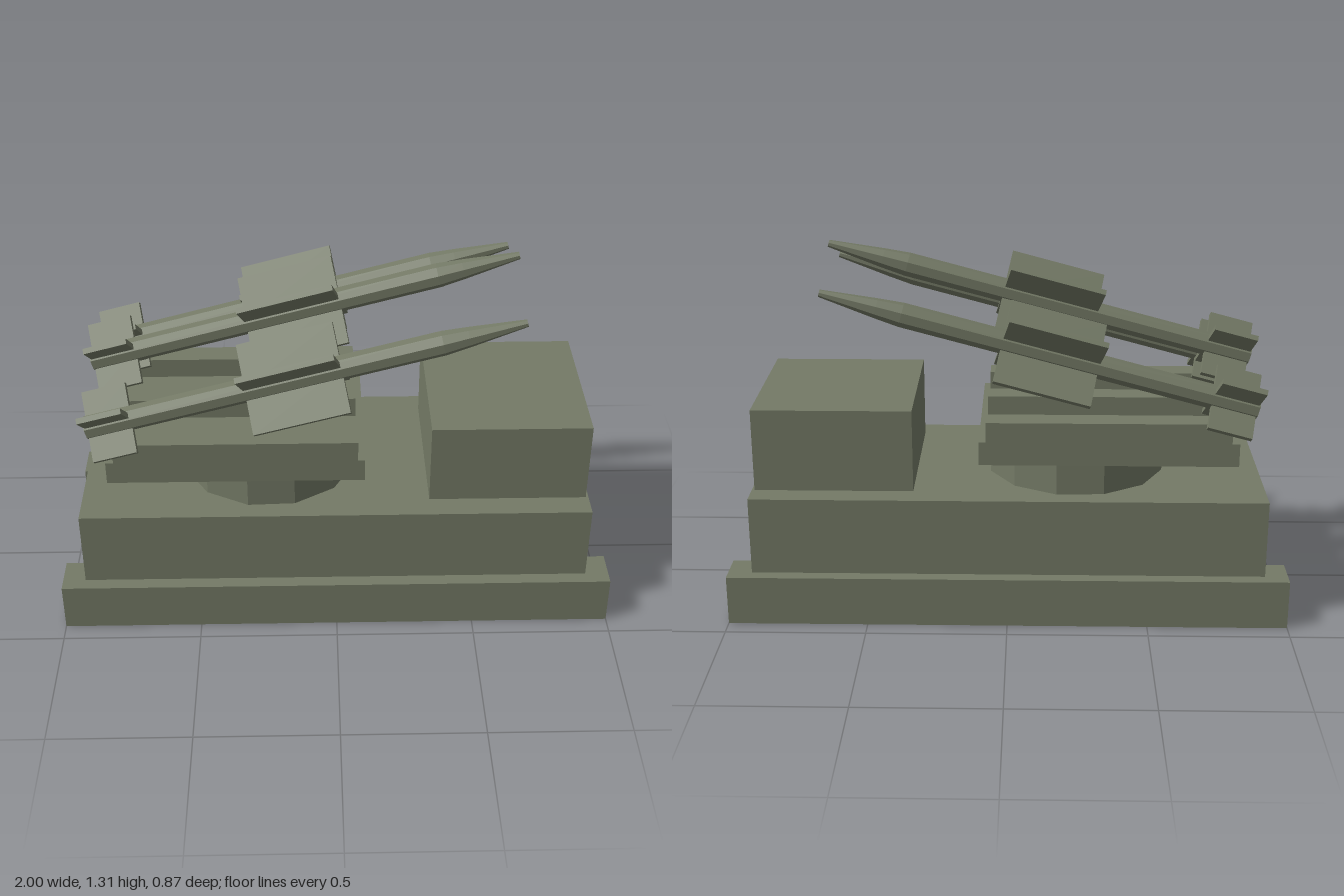
import * as THREE from 'three';

const material = new THREE.MeshStandardMaterial({ color: 0x747a66, flatShading: true });

function addMesh(parent, name, geometry, x = 0, y = 0, z = 0) {
  const mesh = new THREE.Mesh(geometry, material);
  mesh.name = name;
  mesh.position.set(x, y, z);
  parent.add(mesh);
  return mesh;
}

// Box given by its minimum and maximum on each axis
function addBox(parent, name, [x0, x1], [y0, y1], [z0, z1]) {
  return addMesh(parent, name, new THREE.BoxGeometry(x1 - x0, y1 - y0, z1 - z0),
    (x0 + x1) / 2, (y0 + y1) / 2, (z0 + z1) / 2);
}

// Four fins in an X around the missile axis (local x)
function addFins(parent, name, centre, chord, span) {
  for (let i = 0; i < 4; i++) {
    const geometry = new THREE.BoxGeometry(chord, span, 0.02);
    geometry.translate(centre, span / 2, 0);
    addMesh(parent, name, geometry).rotation.x = Math.PI / 4 + i * Math.PI / 2;
  }
}

// Missile pointing along +x, with its nose tip at the origin
function createMissile() {
  const missile = new THREE.Group();
  missile.name = 'missile';
  const profile = [[0, -1.57], [0.043, -1.57], [0.043, -0.29], [0.035, -0.2], [0.013, 0], [0, 0]]
    .map(([r, y]) => new THREE.Vector2(r, y));
  const body = new THREE.LatheGeometry(profile, 8, Math.PI / 8);
  body.rotateZ(-Math.PI / 2);
  addMesh(missile, 'missileBody', body);
  addFins(missile, 'wing', -0.82, 0.345, 0.163);
  addFins(missile, 'tailFin', -1.485, 0.16, 0.127);
  return missile;
}

export function createModel() {
  const model = new THREE.Group();
  model.name = 'missileCarrier';

  // Tracks, hull and cab
  addBox(model, 'leftTrack', [-1, 1], [0, 0.18], [0.287, 0.433]);
  addBox(model, 'rightTrack', [-1, 1], [0, 0.18], [-0.433, -0.29]);
  addBox(model, 'hull', [-0.918, 0.915], [0.18, 0.463], [-0.387, 0.385]);
  addBox(model, 'cab', [0.337, 0.905], [0.463, 0.765], [-0.3, 0.295]);

  // Turntable and launch platform
  const turntable = addMesh(model, 'turntable',
    new THREE.CylinderGeometry(0.326, 0.326, 0.112, 12), -0.245, 0.519, -0.002);
  turntable.rotation.y = 0.3;
  addBox(model, 'platform', [-0.813, 0.102], [0.575, 0.66], [-0.325, 0.325]);

  // Rails with the missiles above them, the middle one raised
  for (const [z, tipHeight] of [[0.28, 1.187], [-0.003, 1.294], [-0.286, 1.187]]) {
    addBox(model, 'launchRail', [-0.785, 0.077], [0.66, 0.735], [z - 0.045, z + 0.045]);
    const missile = createMissile();
    missile.position.set(0.645, tipHeight, z);
    missile.rotation.z = THREE.MathUtils.degToRad(15);
    model.add(missile);
  }
  return model;
}
